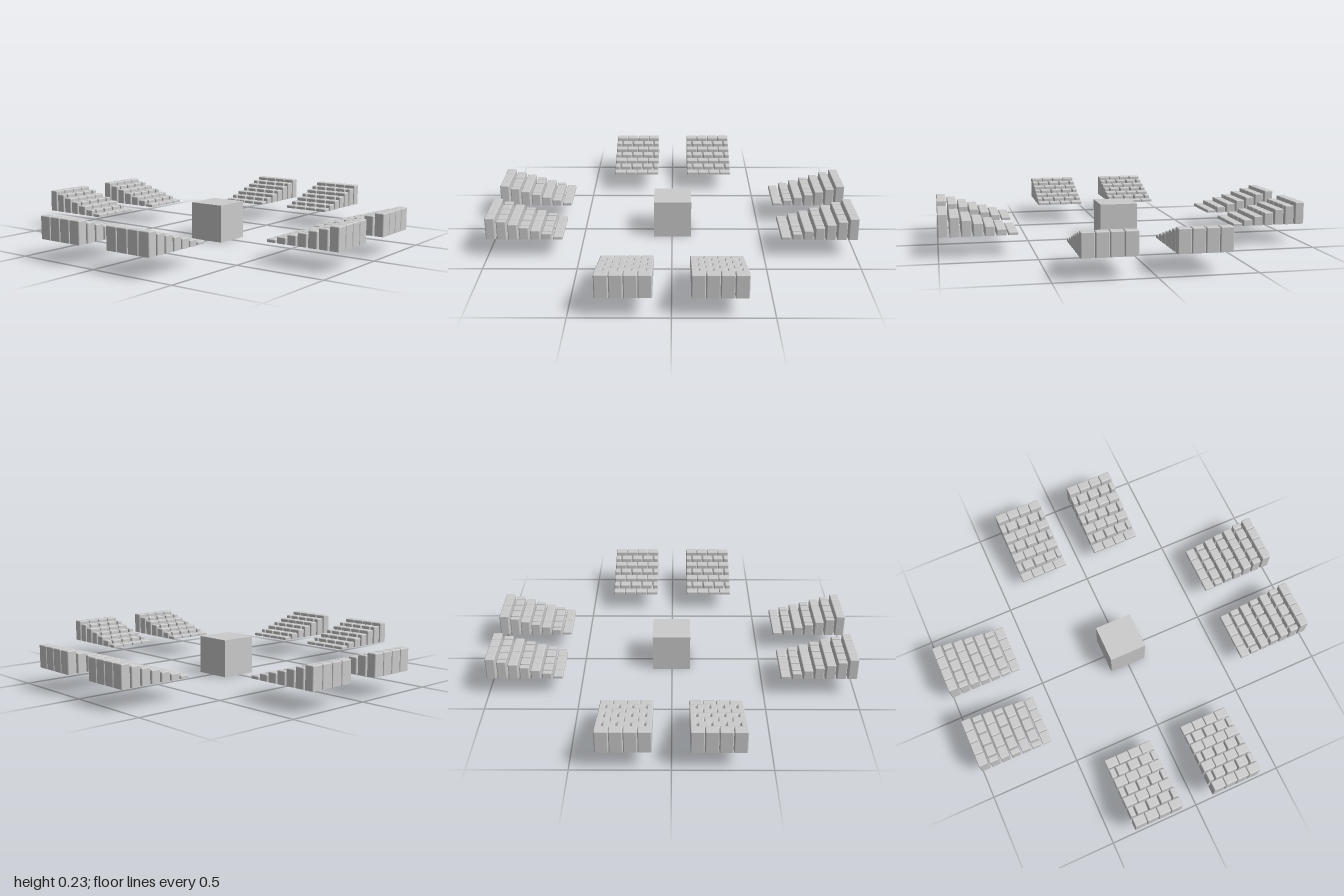
import * as THREE from 'three';
import { RoundedBoxGeometry } from 'three/addons/geometries/RoundedBoxGeometry.js';

const ROWS = 7, PITCH = 0.06, DEPTH = 0.052, RISE = 0.0175;
const BASE = 0.108, WIDTH = 0.276, UNIT = WIDTH / 4, SHIFT = -0.003;

const material = new THREE.MeshStandardMaterial({ color: 0xcccccc });

// Stone with softened top and sides and a flat underside at y = 0
function stoneGeometry(width, height) {
  const r = 0.006;
  const g = new RoundedBoxGeometry(width, height + 2 * r, DEPTH, 2, r);
  g.translate(0, height / 2 - r, 0);
  const p = g.attributes.position;
  for (let i = 0; i < p.count; i++) p.setY(i, Math.max(0, p.getY(i)));
  return g;
}

// One block of seven rising rows, laid in running bond, facing the centre
function createSteps() {
  const steps = new THREE.Group();
  steps.name = 'steppedBlock';
  for (let row = 0; row < ROWS; row++) {
    const height = RISE * (row + 1);
    const staggered = row % 2 === 1;
    const gap = staggered ? 0.008 : 0.002;
    const widths = staggered ? [0.5, 1, 1, 1, 0.5] : [1, 1, 1, 1];
    let x = -WIDTH / 2;
    widths.forEach((w, i) => {
      // The outer ends stay flush; only the inner joints are cut back
      const left = x + (i === 0 ? 0 : gap / 2);
      x += w * UNIT;
      const right = x - (i === widths.length - 1 ? 0 : gap / 2);
      const stone = new THREE.Mesh(stoneGeometry(right - left, height), material);
      stone.name = 'stone';
      stone.position.set((left + right) / 2, BASE, 1 - DEPTH / 2 - (ROWS - 1 - row) * PITCH);
      steps.add(stone);
    });
  }
  return steps;
}

export function createModel() {
  const model = new THREE.Group();
  model.name = 'courtOfSteps';

  // Central cube
  const cube = new THREE.Mesh(new THREE.BoxGeometry(0.21, 0.21, 0.21), material);
  cube.name = 'centreCube';
  cube.position.set(SHIFT, 0.105, SHIFT);
  model.add(cube);

  // A pair of stepped blocks on each of the four sides
  ['front', 'left', 'back', 'right'].forEach((name, i) => {
    const side = new THREE.Group();
    side.name = name + 'Steps';
    for (const s of [-1, 1]) {
      const steps = createSteps();
      steps.position.x = s * 0.23;
      side.add(steps);
    }
    side.rotation.y = i * Math.PI / 2;
    side.position[i % 2 ? 'z' : 'x'] = SHIFT / 2;
    model.add(side);
  });
  return model;
}
